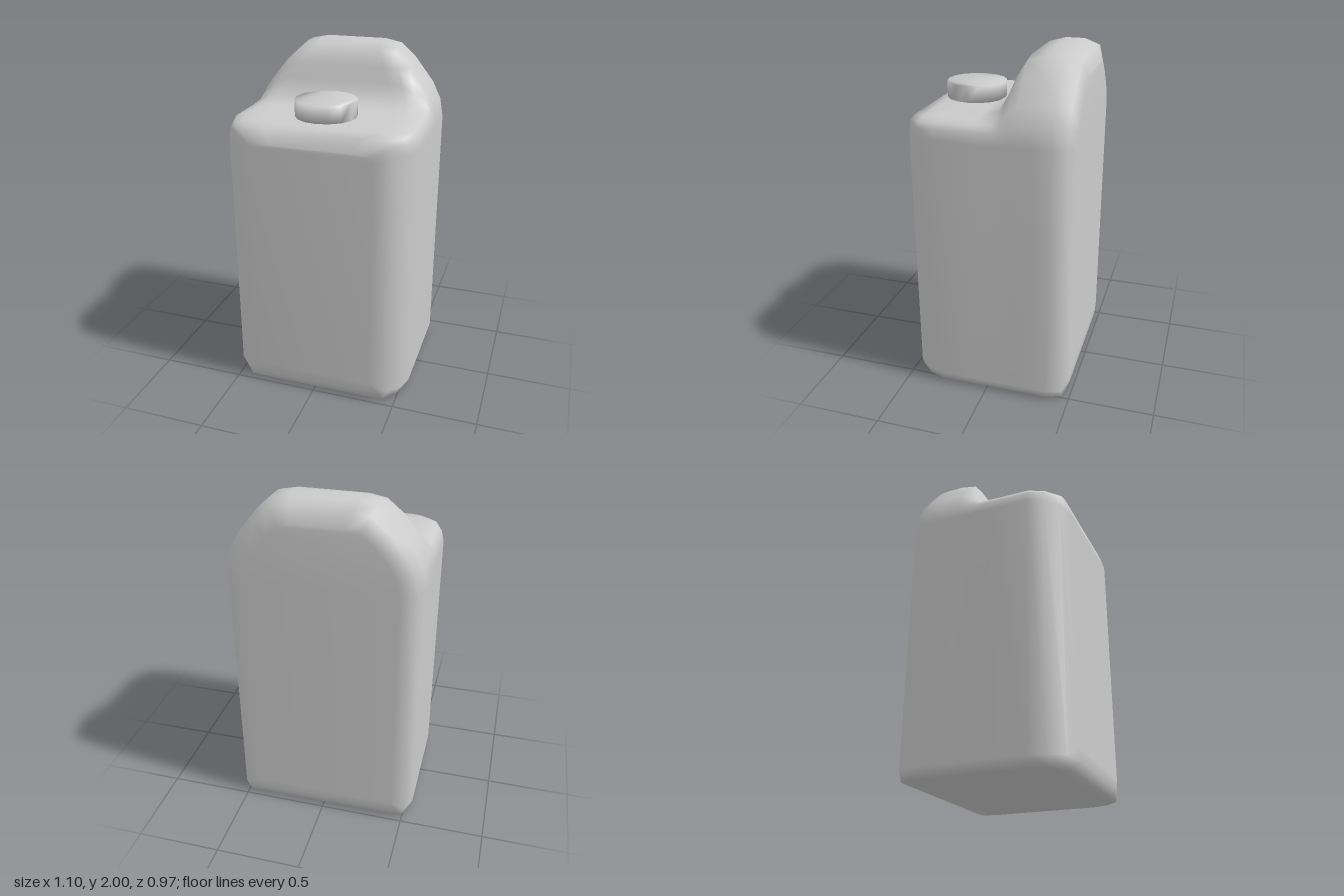
import * as THREE from 'three';

const material = new THREE.MeshStandardMaterial({ color: 0xcccccc });

// Skin a row of equal closed loops and close both ends with strips
function loft(name, loops) {
  const n = loops[0].length;
  const index = [];
  for (let s = 0; s < loops.length - 1; s++) {
    for (let i = 0; i < n; i++) {
      const j = (i + 1) % n;
      const a = s * n + i, b = s * n + j, c = b + n, d = a + n;
      index.push(a, d, b, b, d, c);
    }
  }
  const last = (loops.length - 1) * n;
  for (let i = 0; i < n / 2 - 1; i++) {
    const a = i, b = i + 1, c = n - 2 - i, d = n - 1 - i;
    index.push(a, b, c, a, c, d);
    index.push(last + a, last + c, last + b, last + a, last + d, last + c);
  }
  const geometry = new THREE.BufferGeometry();
  geometry.setAttribute('position', new THREE.Float32BufferAttribute(loops.flat(2), 3));
  geometry.setIndex(index);
  geometry.computeVertexNormals();
  const mesh = new THREE.Mesh(geometry, material);
  mesh.name = name;
  return mesh;
}

// Half outlines of the top, from shoulder to middle: low deck and raised hump
const deck = [[0.55, 1.55], [0.535, 1.61], [0.515, 1.64], [0.46, 1.655], [0.4, 1.66], [0.34, 1.66]];
const hump = [[0.55, 1.55], [0.53, 1.66], [0.48, 1.76], [0.37, 1.9], [0.28, 1.98], [0.18, 2.0]];

// Cross-section at z: half width, floor height, top height, deck-to-hump blend
function section([z, w, floor, top, t]) {
  const crown = 1.66 + 0.34 * t;
  const squash = (top - 1.5) / (crown - 1.5);
  const half = [[w - 0.03, floor], [w, floor + 0.06]];
  deck.forEach(([dx, dy], i) => {
    const x = THREE.MathUtils.lerp(dx, hump[i][0], t);
    const y = THREE.MathUtils.lerp(dy, hump[i][1], t);
    half.push([x * w / 0.55, 1.5 + (y - 1.5) * squash]);
  });
  const right = half.map(([x, y]) => [x, y, z]);
  const left = half.map(([x, y]) => [-x, y, z]).reverse();
  return [...right, ...left];
}

// Stations from front to back
const stations = [
  [0.485, 0.35, 0.06, 1.55, 0],
  [0.455, 0.45, 0, 1.632, 0],
  [0.38, 0.52, 0, 1.645, 0],
  [0.285, 0.55, 0, 1.66, 0],
  [0.06, 0.55, 0, 1.665, 0.015],
  [-0.04, 0.55, 0, 1.69, 0.09],
  [-0.09, 0.55, 0, 1.79, 0.38],
  [-0.12, 0.55, 0, 1.88, 0.65],
  [-0.17, 0.55, 0, 1.97, 0.91],
  [-0.27, 0.55, 0, 2.0, 1],
  [-0.37, 0.55, 0, 2.0, 1],
  [-0.455, 0.52, 0, 1.97, 1],
  [-0.485, 0.43, 0.06, 1.88, 1],
];

// Sixteen-sided ring for the screw cap
function capRing(y) {
  return Array.from({ length: 16 }, (_, i) => {
    const a = (i / 16) * Math.PI * 2;
    return [0.175 * Math.cos(a), y, 0.213 - 0.175 * Math.sin(a)];
  });
}

export function createModel() {
  const group = new THREE.Group();
  group.name = 'canister';
  group.add(loft('body', stations.map(section)));
  group.add(loft('screwCap', [capRing(1.76), capRing(1.665)]));
  return group;
}
